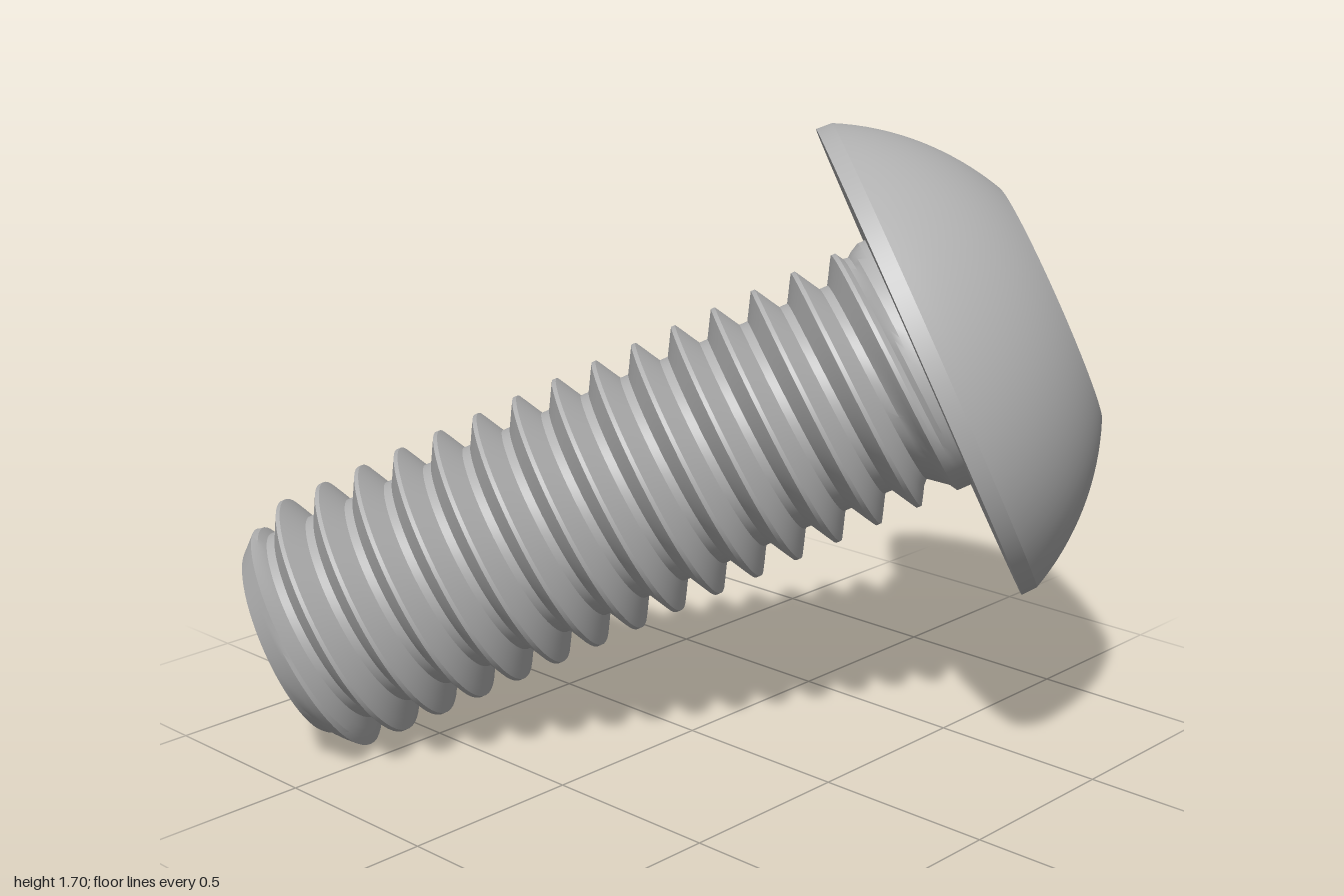
import * as THREE from 'three';
import { toCreasedNormals } from 'three/addons/utils/BufferGeometryUtils.js';

// Sizes, measured along the screw axis from the underside of the head
const HEAD_R = 0.68, HEAD_H = 0.38, LENGTH = 1.884;
const MAJOR = 0.357, MINOR = 0.287, TIP_R = 0.275, PITCH = 0.1177;
const SOCKET_R = 0.272;

const steel = new THREE.MeshStandardMaterial({ color: 0xb2b2b2 });
steel.name = 'steel grey';

function addMesh(group, name, geometry) {
  const mesh = new THREE.Mesh(geometry, steel);
  mesh.name = name;
  group.add(mesh);
}

function lathe(points) {
  return new THREE.LatheGeometry(points.map(([r, y]) => new THREE.Vector2(r, y)), 72);
}

// Surface through a grid of points: u runs around the axis, v runs upwards
function gridSurface(nu, nv, pointAt, crease) {
  const pos = [];
  const tri = (...p) => {
    const [a, b, c] = p;
    const area = b.clone().sub(a).cross(c.clone().sub(a)).length();
    if (area > 1e-8) p.forEach((q) => pos.push(q.x, q.y, q.z));
  };
  for (let i = 0; i < nu; i++) {
    for (let j = 0; j < nv; j++) {
      const a = pointAt(i, j), b = pointAt(i + 1, j);
      const c = pointAt(i + 1, j + 1), d = pointAt(i, j + 1);
      tri(a, b, c);
      tri(a, c, d);
    }
  }
  const g = new THREE.BufferGeometry();
  g.setAttribute('position', new THREE.Float32BufferAttribute(pos, 3));
  return toCreasedNormals(g, crease);
}

const polar = (r, t, y) => new THREE.Vector3(r * Math.sin(t), y, r * Math.cos(t));

// Right-hand thread, cut by the tip chamfer and run out into the neck
function threadedShank() {
  const profile = [[0, 0], [0.2, 0], [0.32, 0.34], [0.44, 0.69], [0.55, 1],
    [0.65, 1], [0.76, 0.69], [0.88, 0.34]];
  const n = profile.length, segments = 64;
  const turns = Math.ceil(LENGTH / PITCH) + 2;
  return gridSurface(segments, turns * n, (i, j) => {
    const t = (i / segments) * Math.PI * 2;
    const [phase, height] = profile[j % n];
    const along = (Math.floor(j / n) - 1 + phase + i / segments) * PITCH - 0.0416;
    const a = THREE.MathUtils.clamp(along, 0, LENGTH);
    const toHead = LENGTH - a;
    const neck = MAJOR - Math.max(0, toHead - 0.03) * 0.8;
    let r = MINOR + (MAJOR - MINOR) * height;
    r = Math.max(r, neck);
    r = Math.min(r, TIP_R + a * 0.9);
    return polar(r, t, a - LENGTH);
  }, 0.4);
}

// Hexagon radius at an angle, with a corner at zero
function hexRadius(t) {
  const sector = Math.PI / 3;
  const local = (((t % sector) + sector) % sector) - sector / 2;
  return (SOCKET_R * Math.cos(sector / 2)) / Math.cos(local);
}

// Hexagonal walls topped by a shallow countersink
function socketWalls() {
  const segments = 60;
  return gridSurface(segments, 2, (i, j) => {
    const t = (i / segments) * Math.PI * 2;
    const hex = hexRadius(t);
    if (j === 0) return polar(SOCKET_R, t, HEAD_H);
    if (j === 1) return polar(hex, t, HEAD_H - (SOCKET_R - hex) * 0.6);
    return polar(hex, t, HEAD_H - 0.18);
  }, 0.3);
}

export function createModel() {
  const model = new THREE.Group();
  model.name = 'buttonHeadScrew';
  const screw = new THREE.Group();
  screw.name = 'screw';
  model.add(screw);

  // Head: underside, narrow rim, spherical dome and flat crown
  const rimY = 0.045, rimR = 0.677, centreY = -0.30;
  const sphereR = Math.hypot(rimR, rimY - centreY);
  const start = Math.atan2(rimY - centreY, rimR);
  const end = Math.asin((HEAD_H - centreY) / sphereR);
  const dome = [];
  for (let i = 0; i <= 16; i++) {
    const a = start + ((end - start) * i) / 16;
    dome.push([sphereR * Math.cos(a), centreY + sphereR * Math.sin(a)]);
  }
  addMesh(screw, 'headUnderside', lathe([[0, 0], [HEAD_R, 0]]));
  addMesh(screw, 'headRim', lathe([[HEAD_R, 0], [rimR, rimY]]));
  addMesh(screw, 'headDome', lathe(dome));
  addMesh(screw, 'headCrown', lathe([dome[16], [SOCKET_R, HEAD_H]]));

  // Hex socket with a conical floor
  addMesh(screw, 'socketWalls', socketWalls());
  addMesh(screw, 'socketFloor', lathe([[SOCKET_R, HEAD_H - 0.14], [0, HEAD_H - 0.24]]));

  // Shank and its flat end
  addMesh(screw, 'threadedShank', threadedShank());
  addMesh(screw, 'shankTip', lathe([[0, -LENGTH], [TIP_R, -LENGTH]]));

  // Tilt the axis back, up and towards the model's left
  const axis = new THREE.Vector3(0.644, 0.412, -0.644).normalize();
  const side = new THREE.Vector3(1, 0, 1).normalize();
  const up = side.clone().cross(axis);
  screw.quaternion.setFromRotationMatrix(new THREE.Matrix4().makeBasis(side, axis, up));
  screw.position.set(0.43, 1.07, -0.43);
  return model;
}
